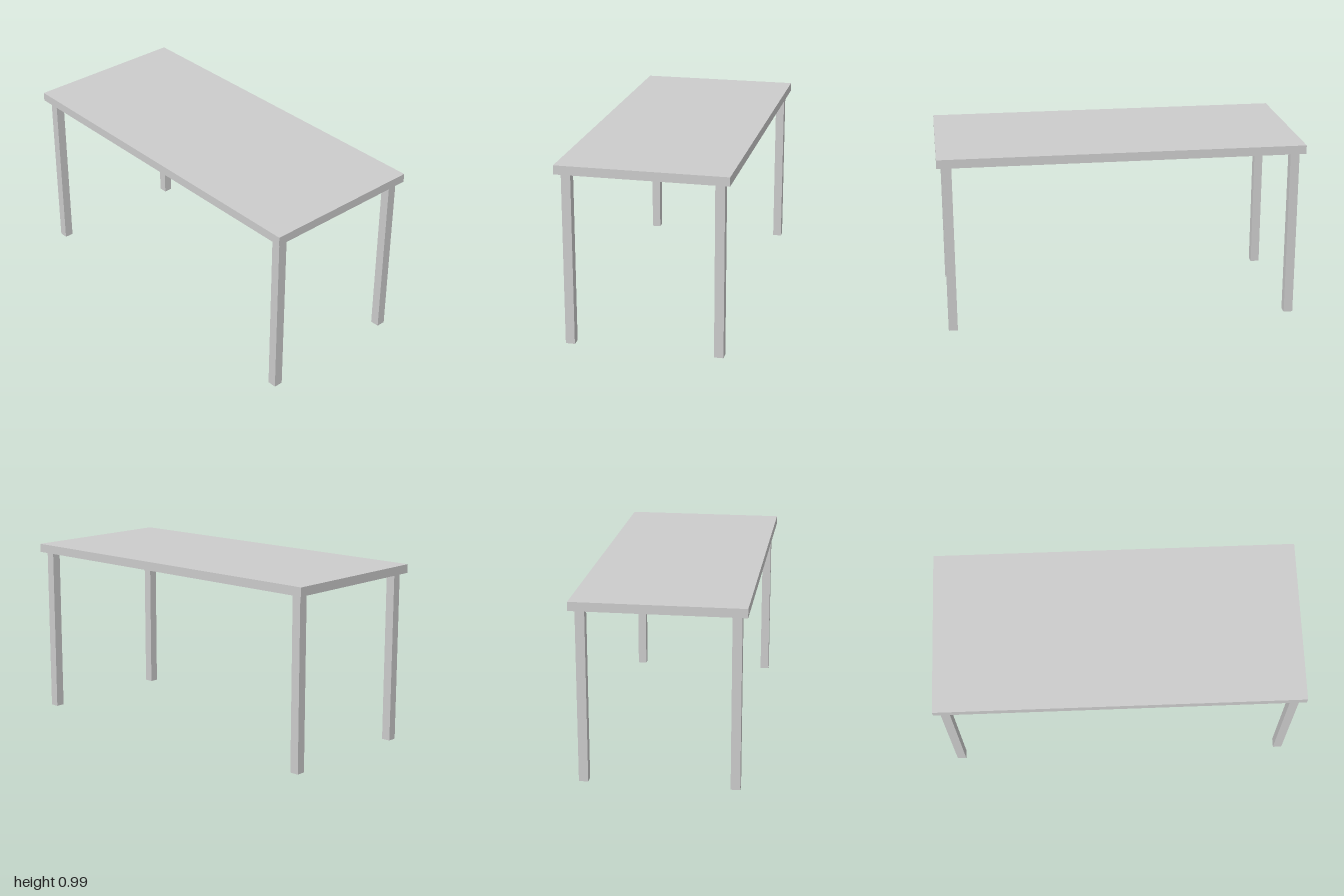
import * as THREE from 'three';

const WIDTH = 0.91, LENGTH = 2, HEIGHT = 0.99;
const TOP = 0.048; // tabletop thickness
const LEG = 0.05; // leg side
const LEG_X = 0.4, LEG_Z = 0.946; // leg centres

export function createModel() {
  const group = new THREE.Group();
  group.name = 'table';
  const material = new THREE.MeshStandardMaterial({ color: 0xcccccc });

  const addBox = (name, w, h, d, x, y, z) => {
    const mesh = new THREE.Mesh(new THREE.BoxGeometry(w, h, d), material);
    mesh.name = name;
    mesh.position.set(x, y, z);
    group.add(mesh);
  };

  // Flat rectangular top
  addBox('tabletop', WIDTH, TOP, LENGTH, 0, HEIGHT - TOP / 2, 0);

  // Four square legs, set in slightly from the corners
  const legHeight = HEIGHT - TOP;
  for (const [end, sz] of [['front', 1], ['back', -1]]) {
    for (const [side, sx] of [['Left', 1], ['Right', -1]]) {
      addBox(`${end}${side}Leg`, LEG, legHeight, LEG, sx * LEG_X, legHeight / 2, sz * LEG_Z);
    }
  }
  return group;
}
